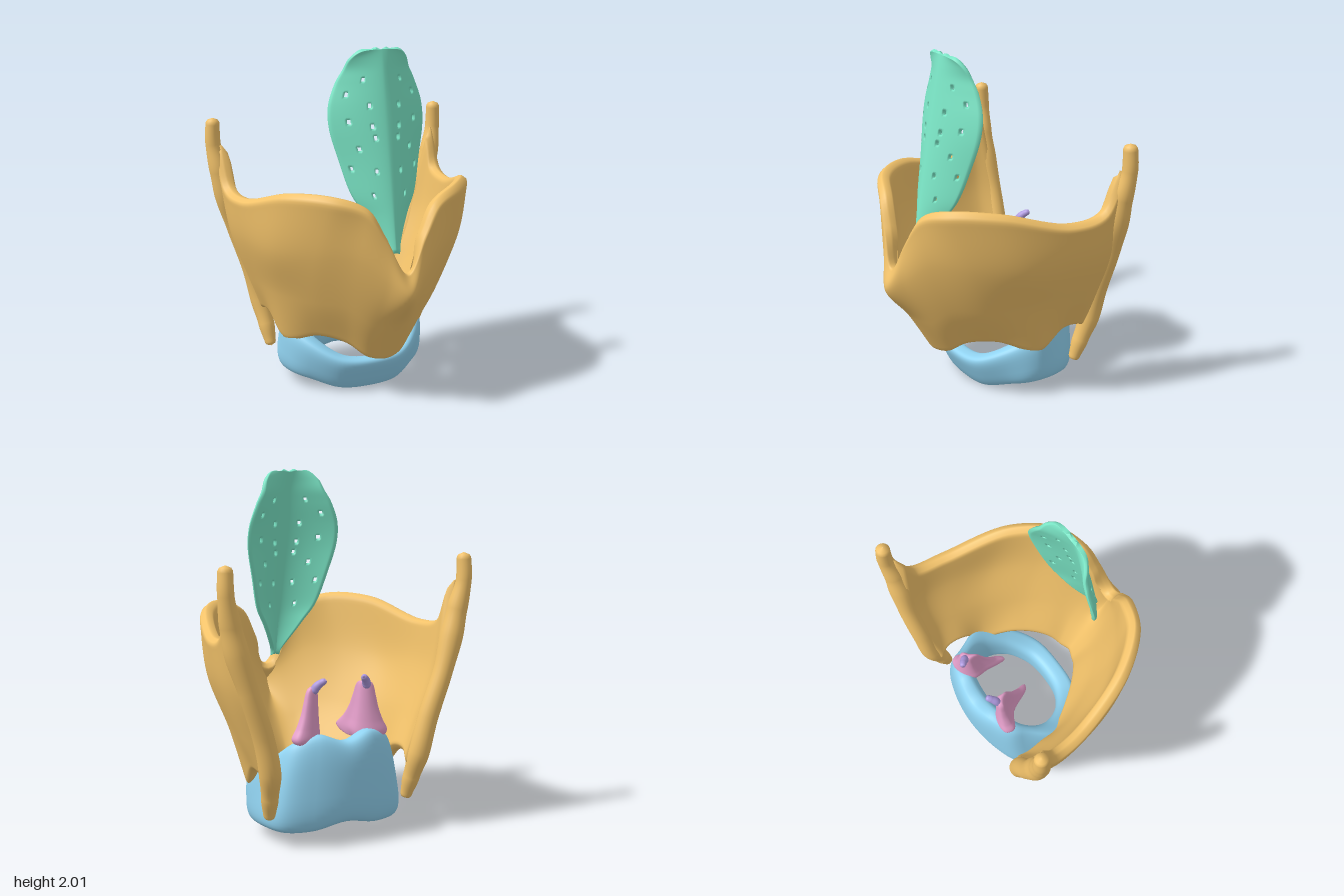
import * as THREE from 'three';
import { ParametricGeometry } from 'three/addons/geometries/ParametricGeometry.js';

const V = (a) => new THREE.Vector3(a[0], a[1], a[2]);
const spline = (pts, closed = false) => new THREE.CatmullRomCurve3(pts.map(V), closed);
const flipX = (p) => [-p[0], p[1], p[2]];

// Curved plate of half-thickness T with rounded rims; skip(i, j) leaves cells open.
// P(u, v): u -1..1 across, v 0..1 upward. LU, LV: rough half-width and height.
function sheet(P, nu, nv, T, LU, LV, skip = () => false) {
  const pos = [], index = [], n = (nu + 1) * (nv + 1);
  const id = (side, i, j) => side * n + j * (nu + 1) + i;
  const back = [];
  for (let j = 0; j <= nv; j++) {
    for (let i = 0; i <= nu; i++) {
      const u = (2 * i) / nu - 1, v = j / nv, e = 0.004;
      const u0 = Math.max(-1, u - e), u1 = Math.min(1, u + e);
      const v0 = Math.max(0, v - e), v1 = Math.min(1, v + e);
      const normal = P(u1, v).sub(P(u0, v)).cross(P(u, v1).sub(P(u, v0))).normalize();
      const d = Math.min(1, Math.min((1 - Math.abs(u)) * LU, v * LV, (1 - v) * LV) / T);
      const h = T * (0.15 + 0.85 * Math.sqrt(1 - (1 - d) ** 2));
      const p = P(u, v);
      pos.push(...p.clone().addScaledVector(normal, h - T).toArray());
      back.push(...p.addScaledVector(normal, -h - T).toArray());
    }
  }
  const solid = (i, j) => i >= 0 && j >= 0 && i < nu && j < nv && !skip(i, j);
  const quad = (a, b, c, d) => index.push(a, b, c, a, c, d);
  for (let j = 0; j < nv; j++) {
    for (let i = 0; i < nu; i++) {
      if (!solid(i, j)) continue;
      const c = [[i, j], [i + 1, j], [i + 1, j + 1], [i, j + 1]];
      quad(...c.map((k) => id(0, ...k)));
      quad(...c.map((k) => id(1, ...k)).reverse());
      [[i, j - 1], [i + 1, j], [i, j + 1], [i - 1, j]].forEach((nb, k) => {
        const p = c[k], q = c[(k + 1) % 4];
        if (!solid(...nb)) quad(id(0, ...p), id(1, ...p), id(1, ...q), id(0, ...q));
      });
    }
  }
  const g = new THREE.BufferGeometry();
  g.setAttribute('position', new THREE.Float32BufferAttribute(pos.concat(back), 3));
  g.setIndex(index);
  g.computeVertexNormals();
  return g;
}

// Round-ended rod through points [x, y, z, radius]
function rod(pts, stacks) {
  const curve = spline(pts), len = curve.getLength(), ref = new THREE.Vector3(0, 0, 1);
  return new ParametricGeometry((u, v, out) => {
    const t = Math.min(1, Math.max(0, v)), f = t * (pts.length - 1);
    const k = Math.min(pts.length - 2, Math.floor(f));
    const r = THREE.MathUtils.lerp(pts[k][3], pts[k + 1][3], THREE.MathUtils.smoothstep(f - k, 0, 1));
    const d = Math.min(1, (Math.min(t, 1 - t) * len) / r);
    const rr = Math.max(0.001, r * Math.sqrt(1 - (1 - d) ** 2));
    const T = curve.getTangent(t), N = T.clone().cross(ref).normalize(), B = T.clone().cross(N);
    const a = u * Math.PI * 2;
    out.copy(curve.getPoint(t)).addScaledVector(N, rr * Math.cos(a)).addScaledVector(B, rr * Math.sin(a));
  }, 20, stacks);
}

// Shield plate: four rows of points from the front midline to the rear edge
function shieldGeometry() {
  const rows = [
    [[0, 0.235, 0.27], [0.1, 0.25, 0.235], [0.2, 0.325, 0.165], [0.31, 0.345, 0.04], [0.44, 0.28, -0.17], [0.475, 0.41, -0.31], [0.48, 0.41, -0.41], [0.46, 0.36, -0.49]],
    [[0, 0.5, 0.43], [0.13, 0.5, 0.375], [0.26, 0.6, 0.305], [0.39, 0.6, 0.15], [0.51, 0.6, -0.08], [0.56, 0.62, -0.28], [0.565, 0.62, -0.42], [0.515, 0.62, -0.55]],
    [[0, 0.71, 0.585], [0.11, 0.78, 0.52], [0.25, 0.9, 0.44], [0.43, 0.9, 0.28], [0.58, 0.9, 0.06], [0.65, 0.9, -0.2], [0.665, 0.9, -0.42], [0.61, 0.9, -0.57]],
    [[0, 0.835, 0.54], [0.115, 1.03, 0.52], [0.22, 1.185, 0.49], [0.39, 1.245, 0.41], [0.57, 1.24, 0.18], [0.69, 1.145, -0.2], [0.715, 1.18, -0.4], [0.725, 1.4, -0.51]],
  ].map((r) => spline([...r.slice(1).reverse().map(flipX), ...r]));
  let lastU = null, column;
  const P = (u, v) => {
    if (u !== lastU) {
      column = new THREE.CatmullRomCurve3(rows.map((c) => c.getPoint((u + 1) / 2)));
      lastU = u;
    }
    return column.getPoint(v);
  };
  return sheet(P, 120, 64, 0.04, 1.1, 0.9);
}

// Leaf: outline of half-widths, folded backward at the sides, pierced by small holes
function leafGeometry() {
  const edge = new THREE.SplineCurve([[0.03, 0.905], [0.045, 0.95], [0.13, 1.1], [0.2, 1.22], [0.25, 1.4], [0.29, 1.57],
    [0.288, 1.7], [0.245, 1.82], [0.205, 1.89], [0.175, 1.95], [0.12, 1.99], [0.03, 2]].map((p) => new THREE.Vector2(...p)));
  const P = (u, v) => {
    const e = edge.getPointAt(v), t = Math.min(1, Math.max(0, (e.y - 0.9) / 1.1));
    const drop = 0.135 * (1 - (1 - t) ** 5) * (1 - t ** 10);
    return new THREE.Vector3(u * e.x, e.y, 0.4 - 0.19 * t - drop * Math.abs(u) ** 1.5);
  };
  const nu = 60, nv = 104, open = new Set();
  const holes = [[0.11, 1.84], [0.2, 1.75], [0.09, 1.7], [0.2, 1.61], [0.08, 1.58], [0.07, 1.52],
    [0.15, 1.46], [0.19, 1.36], [0.07, 1.34], [0.09, 1.21]];
  for (const [x, y] of holes) {
    let j = 1;
    while (j < nv - 2 && edge.getPointAt(j / nv).y < y) j++;
    const off = Math.round((x / edge.getPointAt(j / nv).x) * nu / 2);
    for (const i of [nu / 2 + off, nu / 2 - off])
      for (const [a, b] of [[0, 0], [-1, 0], [0, -1], [-1, -1]]) open.add((i + a) + ',' + (j + b));
  }
  return sheet(P, nu, nv, 0.013, 0.22, 1.3, (i, j) => open.has(i + ',' + j));
}

// Signet-shaped ring: low in front, tall behind. Outer y is the top edge, inner y the bottom.
function ringGeometry() {
  const outer = [[0, 0.2, 0.155], [0.2, 0.22, 0.13], [0.35, 0.3, 0.01], [0.44, 0.39, -0.15], [0.45, 0.47, -0.3],
    [0.39, 0.56, -0.45], [0.22, 0.61, -0.525], [0, 0.565, -0.555]];
  const inner = [[0, 0.005, 0.02], [0.14, 0.015, 0], [0.25, 0.06, -0.08], [0.3, 0.08, -0.19], [0.29, 0.08, -0.28],
    [0.24, 0.07, -0.35], [0.13, 0.075, -0.39], [0, 0.11, -0.4]];
  const loop = (h) => spline([...h, ...h.slice(1, -1).reverse().map(flipX)], true);
  const co = loop(outer), ci = loop(inner);
  const pow = (c) => Math.sign(c) * Math.abs(c) ** 0.66;
  const { smoothstep } = THREE.MathUtils;
  return new ParametricGeometry((u, v, out) => {
    const o = co.getPoint(u), i = ci.getPoint(u), a = v * Math.PI * 2 + 0.02;
    const w = 0.5 + 0.5 * pow(Math.cos(a)), h = 0.5 + 0.5 * pow(Math.sin(a));
    // the rear narrows upward, the front edge slopes back below
    const lean = 1 - 0.22 * h * w * smoothstep(-o.z, 0.15, 0.4);
    const slope = 0.09 * (1 - h) * w * smoothstep(o.z, -0.15, 0.12);
    out.set((i.x + (o.x - i.x) * w) * lean, i.y + (o.y - i.y) * h, i.z + (o.z - i.z) * w - slope);
  }, 112, 40);
}

// Small three-cornered pyramid; long corners shrink faster with height
function pyramidGeometry() {
  const outline = spline([[0.29, 0, -0.41], [0.275, 0, -0.465], [0.18, 0, -0.465], [0.115, 0, -0.41], [0.11, 0, -0.31],
    [0.1, 0, -0.2], [0.13, 0, -0.21], [0.2, 0, -0.35]], true);
  const rise = spline([[0.01, 0.56, 0], [0.85, 0.55, 0], [1, 0.59, 0], [0.86, 0.65, 0], [0.72, 0.72, 0],
    [0.62, 0.79, 0], [0.52, 0.85, 0], [0.01, 0.875, 0]]);
  return new ParametricGeometry((u, v, out) => {
    const p = outline.getPoint(u), r = rise.getPoint(Math.min(1, Math.max(0, v)));
    const dx = p.x - 0.155, dz = p.z + 0.425;
    const s = Math.max(0.004, r.x) ** (1 + 4 * Math.hypot(dx, dz));
    out.set(0.155 + dx * s, r.y, -0.425 + dz * s);
  }, 40, 40);
}

export function createModel() {
  const model = new THREE.Group();
  const paint = (color) => new THREE.MeshStandardMaterial({ color });
  const gold = paint(0xf2c26a), blue = paint(0x92d4f2), green = paint(0x7ce8c8);
  const pink = paint(0xe6a0cc), purple = paint(0xb09be0);
  const add = (name, geometry, material, mirrored = false) => {
    const mesh = new THREE.Mesh(geometry, material);
    mesh.name = name;
    if (mirrored) mesh.scale.x = -1;
    model.add(mesh);
  };

  add('shieldCartilage', shieldGeometry(), gold);
  add('ringCartilage', ringGeometry(), blue);
  add('leafCartilage', leafGeometry(), green);

  // Paired parts: rear border with upper and lower horns, pyramids and their tips
  const horn = rod([[0.43, 0.165, -0.42, 0.032], [0.445, 0.3, -0.46, 0.048], [0.465, 0.45, -0.505, 0.06], [0.51, 0.65, -0.52, 0.058],
    [0.595, 0.9, -0.53, 0.056], [0.655, 1.1, -0.52, 0.066], [0.69, 1.25, -0.52, 0.058], [0.72, 1.41, -0.535, 0.044], [0.72, 1.565, -0.53, 0.04]], 96);
  const pyramid = pyramidGeometry();
  const tip = rod([[0.17, 0.83, -0.425, 0.025], [0.155, 0.87, -0.44, 0.024], [0.135, 0.895, -0.46, 0.02], [0.115, 0.91, -0.48, 0.016]], 24);
  for (const [side, mirrored] of [['left', false], ['right', true]]) {
    add(side + 'Horns', horn, gold, mirrored);
    add(side + 'Pyramid', pyramid, pink, mirrored);
    add(side + 'PyramidTip', tip, purple, mirrored);
  }
  return model;
}
